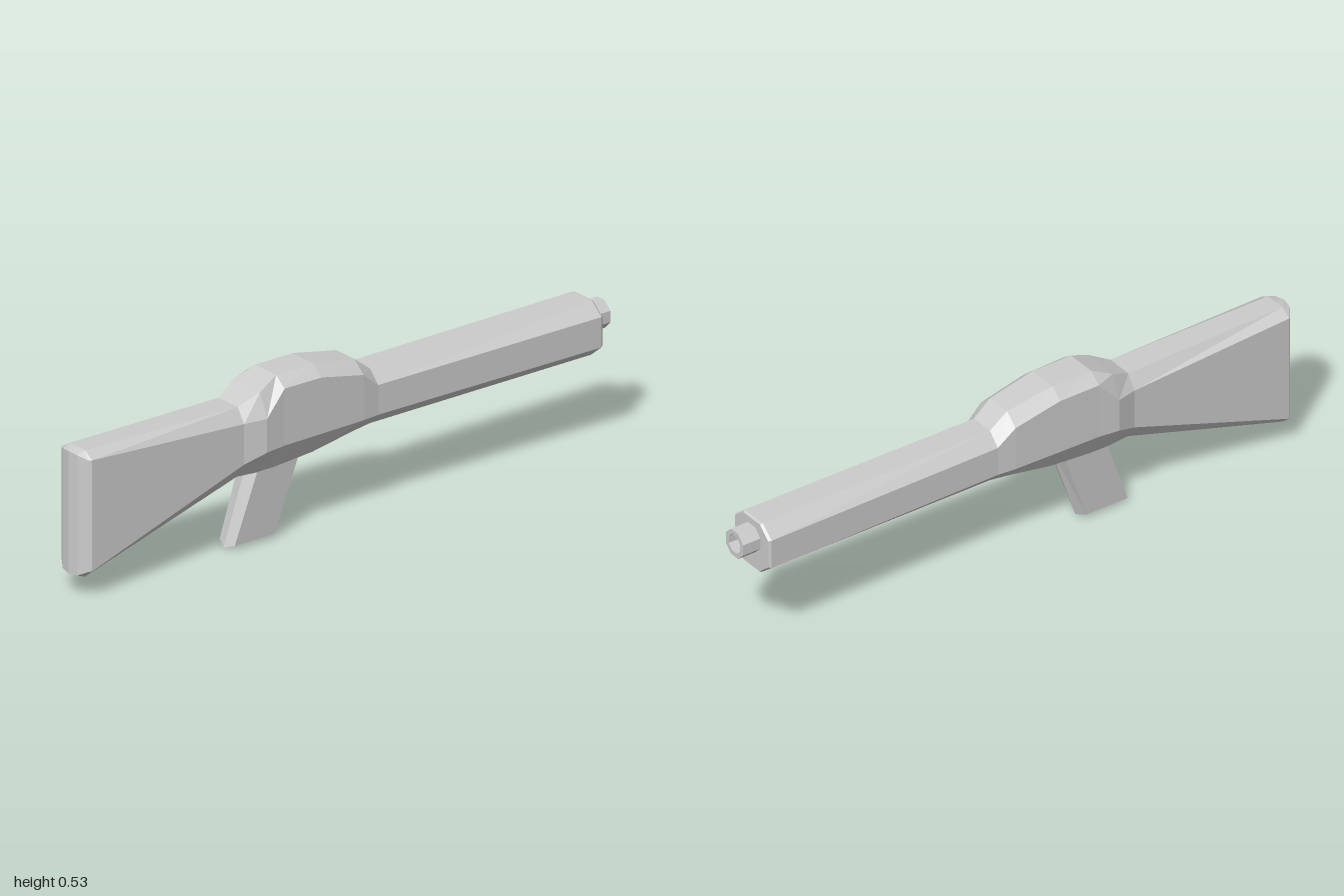
import * as THREE from 'three';

// Faceted skin through rings of points; the first and last rings are capped in strips.
function loft(rings) {
  const n = rings[0].length, h = n / 2, last = rings.length - 1, idx = [];
  const quad = (a, b, c, d) => idx.push(a, b, c, a, c, d);
  for (let i = 0; i < last; i++) for (let j = 0; j < n; j++) {
    const k = (j + 1) % n, o = i * n, p = o + n;
    quad(o + j, p + j, p + k, o + k);
  }
  for (let j = 0; j < (h - 1) / 2; j++) {
    for (const q of [[j, j + 1, h - j - 1, h - j], [h + j, h + j + 1, n - j - 1, (n - j) % n]]) {
      quad(...q);
      quad(...q.reverse().map(v => v + last * n));
    }
  }
  const g = new THREE.BufferGeometry();
  g.setAttribute('position', new THREE.Float32BufferAttribute(rings.flat(2), 3));
  g.setIndex(idx);
  const flat = g.toNonIndexed();
  flat.computeVertexNormals();
  return flat;
}

// Ten-sided section: z, half width, low corner, shoulder, bottom, top, half widths of bottom and top.
// mid and rim pull the end back towards its edges, rounding it.
function section({ z, w, lo, sh, bot, top, wb = 0.04, wt = 0.045, mid = 0, rim = 0, vee = 0 }) {
  const half = [[wb, bot + vee, z - mid], [w, lo, z - rim], [w, sh, z - rim], [wt, top - vee, z - mid]];
  const other = half.map(([x, y, q]) => [-x, y, q]).reverse();
  return [[0, bot, z], ...half, [0, top, z], ...other];
}

export function createModel() {
  const group = new THREE.Group();
  const material = new THREE.MeshStandardMaterial({ color: 0xcccccc, flatShading: true, side: THREE.DoubleSide });
  const add = (name, geometry) => {
    const mesh = new THREE.Mesh(geometry, material);
    mesh.name = name;
    group.add(mesh);
    return mesh;
  };

  const stockJoint = { z: 0.4, w: 0.075, lo: 0.285, sh: 0.415, bot: 0.235, top: 0.46, wt: 0.045 };
  const barrelJoint = { z: -0.1, w: 0.08, lo: 0.315, sh: 0.41, bot: 0.275, top: 0.45, wt: 0.04 };

  // Stock with a rounded butt
  add('stock', loft([
    { z: 1, w: 0.064, lo: 0.09, sh: 0.446, bot: 0.07, top: 0.462, wb: 0.035, wt: 0.035, mid: 0.006, rim: 0.025, vee: 0.004 },
    { z: 0.967, w: 0.071, lo: 0.092, sh: 0.447, bot: 0.063, top: 0.468, wb: 0.036, wt: 0.036 },
    stockJoint,
  ].map(section)));

  // Bulged receiver
  add('receiver', loft([
    stockJoint,
    { z: 0.33, w: 0.096, lo: 0.312, sh: 0.42, bot: 0.232, top: 0.495, wb: 0.045, wt: 0.063 },
    { z: 0.26, w: 0.091, lo: 0.315, sh: 0.497, bot: 0.233, top: 0.527, wb: 0.045, wt: 0.05 },
    { z: 0.12, w: 0.089, lo: 0.315, sh: 0.495, bot: 0.243, top: 0.527, wb: 0.045, wt: 0.05 },
    { z: -0.04, w: 0.086, lo: 0.315, sh: 0.46, bot: 0.267, top: 0.497, wt: 0.043 },
    barrelJoint,
  ].map(section)));

  // Long fore-end, slightly wider at its tip
  add('barrel', loft([
    barrelJoint,
    { z: -0.93, w: 0.09, lo: 0.315, sh: 0.412, bot: 0.275, top: 0.45, wt: 0.045 },
    { z: -0.938, w: 0.084, lo: 0.318, sh: 0.41, bot: 0.28, top: 0.446, wt: 0.042 },
  ].map(section)));

  // Raked six-sided grip
  const gripRing = (y, front, back, w, vee) => [
    [0, y, front], [w, y + vee, front + 0.014], [w, y + vee, back - 0.014],
    [0, y, back], [-w, y + vee, back - 0.014], [-w, y + vee, front + 0.014],
  ];
  add('grip', loft([gripRing(0, 0.24, 0.418, 0.036, 0.013), gripRing(0.27, 0.148, 0.326, 0.045, 0)]));

  // Hollow eight-sided muzzle
  const profile = [[0.0475, 0], [0.0475, 0.07], [0.031, 0.07], [0.031, 0.01], [0, 0.01]]
    .map(([r, y]) => new THREE.Vector2(r, y));
  const muzzle = add('muzzle', new THREE.LatheGeometry(profile, 8, Math.PI / 8).toNonIndexed());
  muzzle.rotation.x = -Math.PI / 2;
  muzzle.position.set(0, 0.38, -0.93);

  return group;
}
